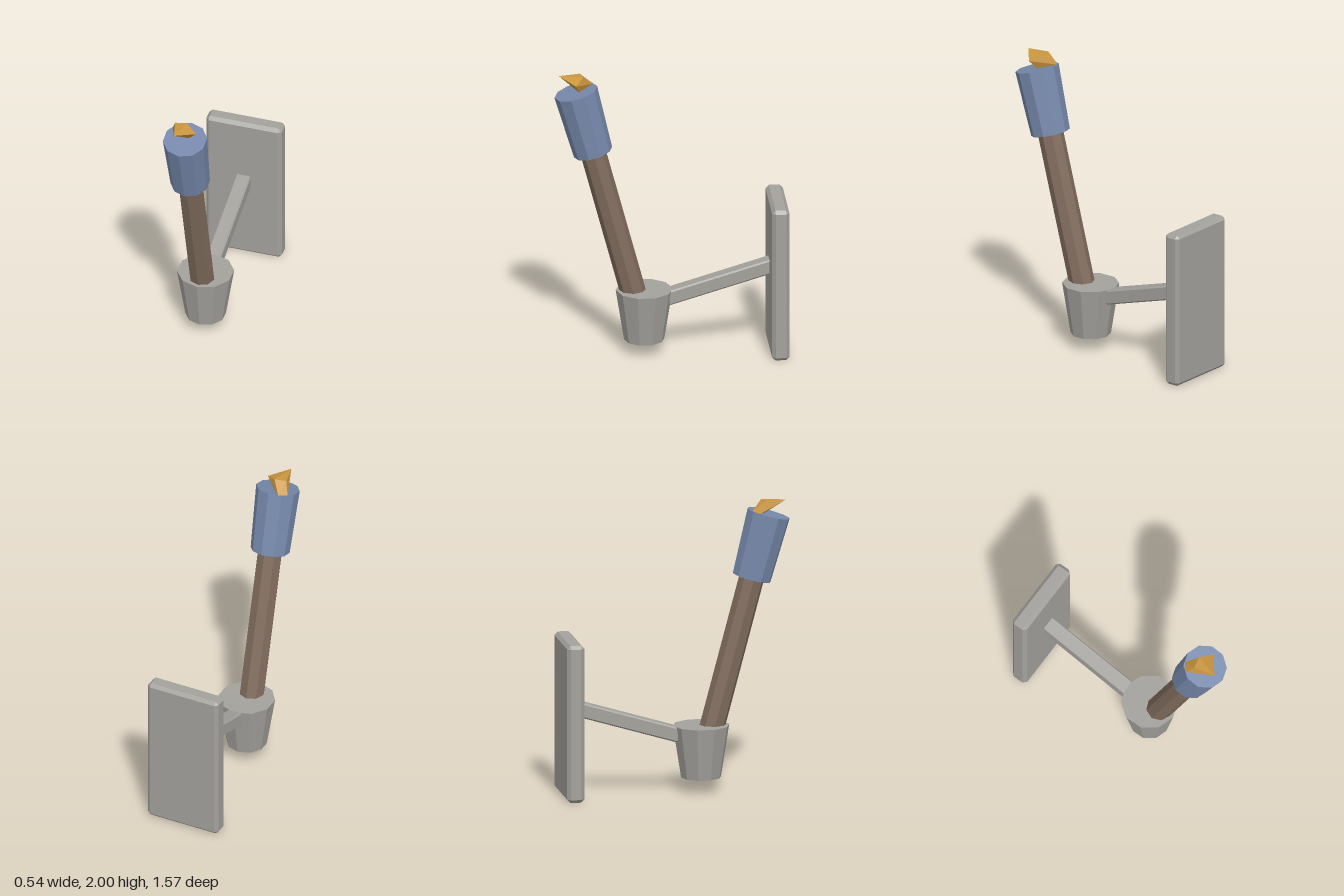
import * as THREE from 'three';
import { ConvexGeometry } from 'three/addons/geometries/ConvexGeometry.js';

function paint(name, color) {
  const m = new THREE.MeshStandardMaterial({ color });
  m.name = name;
  return m;
}

// Faceted (flat-normal) tapered cylinder with a corner facing the front
function faceted(rTop, rBottom, height, sides) {
  const g = new THREE.CylinderGeometry(rTop, rBottom, height, sides).toNonIndexed();
  g.computeVertexNormals();
  return g;
}

// Box with every edge cut by a single chamfer
function chamferBox(w, h, d, b) {
  const pts = [];
  for (const x of [-1, 1]) for (const y of [-1, 1]) for (const z of [-1, 1]) {
    for (let axis = 0; axis < 3; axis++) {
      const inset = [b, b, b];
      inset[axis] = 0;
      pts.push(new THREE.Vector3(
        x * (w / 2 - inset[0]), y * (h / 2 - inset[1]), z * (d / 2 - inset[2])));
    }
  }
  return new ConvexGeometry(pts);
}

export function createModel() {
  const model = new THREE.Group();
  model.name = 'wallTorch';
  const metal = paint('grey metal', 0xa3a19c);
  const wood = paint('brown wood', 0x806c5d);
  const cloth = paint('blue wrap', 0x7688ab);
  const fire = paint('gold flame', 0xca963f);

  function add(name, geometry, material, x, y, z, tilt = 0, parent = model) {
    const mesh = new THREE.Mesh(geometry, material);
    mesh.name = name;
    mesh.position.set(x, y, z);
    mesh.rotation.x = tilt;
    parent.add(mesh);
    return mesh;
  }

  // Wall bracket: plate, sloping arm and cup
  add('wallPlate', chamferBox(0.535, 1.085, 0.118, 0.023), metal, 0, 0.5425, -0.73);
  add('bracketArm', chamferBox(0.104, 0.1, 0.785, 0.01), metal, 0, 0.506, -0.355, 0.289);
  add('holderCup', faceted(0.194, 0.137, 0.36, 10), metal, 0, 0.275, 0.175);

  // Torch leaning forward out of the cup; local y runs along the handle
  const torch = new THREE.Group();
  torch.name = 'torch';
  torch.position.set(0, 0.455, 0.255);
  torch.rotation.x = THREE.MathUtils.degToRad(14.9);
  model.add(torch);
  add('handle', faceted(0.087, 0.087, 1.5, 8), wood, 0, 0.45, 0, 0, torch);
  add('headWrap', faceted(0.15, 0.134, 0.454, 10), cloth, 0, 1.267, 0, 0, torch);

  // Angular flame flaring up from the wrap
  const flame = [
    [-0.045, 2.0, 0.75], [0.08, 1.967, 0.645], [0, 2.0, 0.588], [-0.08, 2.0, 0.605],
    [-0.113, 1.918, 0.56], [-0.065, 1.93, 0.515], [0.02, 1.9, 0.617],
  ].map((p) => new THREE.Vector3(...p));
  add('flame', new ConvexGeometry(flame), fire, 0, 0, 0);

  return model;
}
